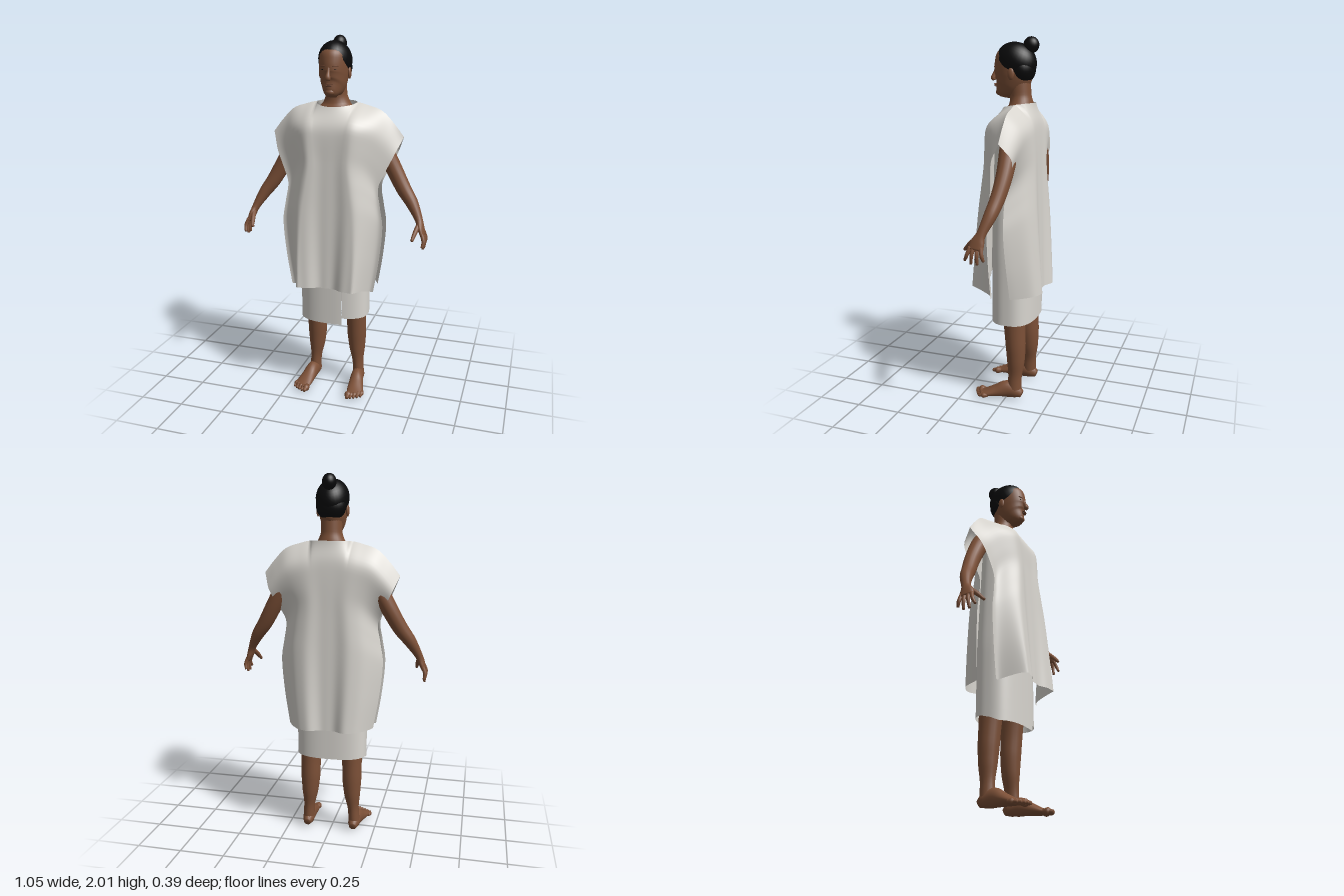
import * as THREE from 'three';

const { lerp, clamp, smoothstep } = THREE.MathUtils;

const mat = (name, color, side = THREE.FrontSide) => {
  const m = new THREE.MeshStandardMaterial({ color, side });
  m.name = name;
  return m;
};

// Smooth interpolation through [t, value] keys
function keyed(keys, t) {
  const n = keys.length - 1;
  let i = 0;
  while (i < n - 1 && t > keys[i + 1][0]) i++;
  const slope = k => {
    const a = keys[Math.max(0, k - 1)], b = keys[Math.min(n, k + 1)];
    return (b[1] - a[1]) / (b[0] - a[0]);
  };
  const [t0, v0] = keys[i], [t1, v1] = keys[i + 1];
  const h = t1 - t0, s = clamp((t - t0) / h, 0, 1), s2 = s * s, s3 = s2 * s;
  return v0 * (2 * s3 - 3 * s2 + 1) + v1 * (3 * s2 - 2 * s3)
    + slope(i) * h * (s3 - 2 * s2 + s) + slope(i + 1) * h * (s3 - s2);
}

function indexed(pos, idx) {
  const g = new THREE.BufferGeometry();
  g.setAttribute('position', new THREE.Float32BufferAttribute(pos, 3));
  g.setIndex(idx);
  g.computeVertexNormals();
  return g;
}

// Closed limb through rows [x, y, z, radius along ref, radius across]
function loft(rows, ref, sides = 20, steps = rows.length * 4) {
  const path = new THREE.CatmullRomCurve3(rows.map(r => new THREE.Vector3(r[0], r[1], r[2])));
  const radii = new THREE.CatmullRomCurve3(rows.map(r => new THREE.Vector3(r[3], r[4], 0)));
  const pos = [], idx = [];
  for (let i = -1; i <= steps + 1; i++) {
    const t = clamp(i / steps, 0, 1);
    const c = path.getPoint(t), d = path.getTangent(t), r = radii.getPoint(t);
    if (i < 0 || i > steps) r.set(0, 0, 0);
    const a = ref.clone().addScaledVector(d, -ref.dot(d)).normalize();
    const b = d.clone().cross(a);
    for (let j = 0; j < sides; j++) {
      const w = j / sides * Math.PI * 2;
      const p = c.clone().addScaledVector(a, r.x * Math.cos(w)).addScaledVector(b, r.y * Math.sin(w));
      pos.push(p.x, p.y, p.z);
    }
  }
  for (let i = 0; i < steps + 2; i++) for (let j = 0; j < sides; j++) {
    const k = (j + 1) % sides, p = i * sides, q = p + sides;
    idx.push(p + j, p + k, q + j, p + k, q + k, q + j);
  }
  return indexed(pos, idx);
}

// Open cloth sheet from fn(u, v) with u and v in 0..1
function sheet(nu, nv, fn, flip = false) {
  const pos = [], idx = [];
  for (let i = 0; i <= nv; i++) for (let j = 0; j <= nu; j++) pos.push(...fn(j / nu, i / nv));
  for (let i = 0; i < nv; i++) for (let j = 0; j < nu; j++) {
    const a = i * (nu + 1) + j, b = a + 1, c = a + nu + 1, d = c + 1;
    if (flip) idx.push(a, b, c, b, d, c);
    else idx.push(a, c, b, b, c, d);
  }
  return indexed(pos, idx);
}

// Tunic tables, from the shoulder seam (0) to the hem (1)
const SEAM_Y = [[0, 1.655], [0.3, 1.655], [0.45, 1.643], [0.68, 1.612], [0.85, 1.55], [1, 1.48]];
const WIDTH = [[0, 0.37], [0.12, 0.325], [0.22, 0.285], [0.31, 0.256], [0.43, 0.27], [0.56, 0.286], [0.78, 0.27], [1, 0.24]];
const FRONT = {
  sign: 1, neckY: 1.635, neckZ: 0.05, hem: 0.655, corner: 0.62, fold: 0.02, foldAt: 0.64,
  mid: [[0, 0.08], [0.1, 0.112], [0.3, 0.128], [0.6, 0.148], [1, 0.174]],
  edge: [[0, -0.03], [0.1, 0.005], [0.3, 0.04], [0.5, 0.05], [1, 0.05]],
  fall: (a, t) => 1 - smoothstep(a, lerp(0.3, 0.64, t), lerp(1, 0.93, t)),
};
const BACK = {
  sign: -1, neckY: 1.66, neckZ: -0.115, hem: 0.635, corner: 0.63, fold: 0.016, foldAt: 0.5,
  mid: [[0, -0.12], [0.1, -0.142], [0.4, -0.156], [1, -0.184]],
  edge: [[0, -0.08], [0.1, -0.11], [0.3, -0.05], [0.5, -0.04], [1, -0.06]],
  fall: (a, t) => 1 - a ** (2.6 + 2.6 * t),
};

function tunicPanel(s) {
  return sheet(72, 44, (uu, v) => {
    const u = uu * 2 - 1, a = Math.abs(u), t = v ** 1.2;
    const neck = a < 0.3 ? Math.sqrt(1 - (a / 0.3) ** 2) : 0;
    const top = keyed(SEAM_Y, a) + (s.neckY - 1.655) * neck;
    const hem = lerp(s.hem, s.corner, smoothstep(a, 0.7, 0.95));
    const seamZ = -0.05 + (s.neckZ + 0.05) * neck;
    const mid = keyed(s.mid, t), edge = keyed(s.edge, t);
    const folds = s.sign * t * (1 - a ** 6) * (0.003 * Math.cos(u * 17) - s.fold * Math.cos(Math.PI * a / s.foldAt));
    const body = edge + (mid - edge) * s.fall(a, t) + folds;
    const blend = 1 - (1 - Math.min(1, t / 0.15)) ** 2.5;
    return [u * keyed(WIDTH, t), lerp(top, hem, t), lerp(seamZ, body, blend)];
  }, s.sign < 0);
}

// Wrapped under-robe: one turn starting and ending at the front overlap
function robeWrap() {
  return sheet(110, 18, (s, v) => {
    const w = 0.27 + s * Math.PI * 2;
    const hem = 0.457 - 0.037 * smoothstep(w, 4.4, 5.2);
    const grow = 1 + 0.05 * smoothstep(s, 0.75, 1);
    const round = c => Math.sign(c) * Math.abs(c) ** 0.75;
    const k = Math.min(1, v * 1.6);
    return [
      round(Math.sin(w)) * lerp(0.168, 0.196, k), lerp(1.5, hem, v),
      -0.022 + round(Math.cos(w)) * lerp(0.104, 0.121, k) * grow,
    ];
  });
}

export function createModel() {
  const model = new THREE.Group();
  model.name = 'standingPerson';
  const skin = mat('skin', 0x7c5037), hair = mat('hair', 0x0a0a0b);
  const lip = mat('lips', 0x69422f), cloth = mat('cloth', 0xd8d5cf, THREE.DoubleSide);
  const X = new THREE.Vector3(1, 0, 0), Y = new THREE.Vector3(0, 1, 0), Z = new THREE.Vector3(0, 0, 1);

  const add = (name, geo, material, parent = model) => {
    const m = new THREE.Mesh(geo, material);
    m.name = name;
    parent.add(m);
    return m;
  };
  const ball = (name, material, p, r, parent) => {
    const m = add(name, new THREE.SphereGeometry(1, 28, 20), material, parent);
    m.position.set(...p);
    m.scale.set(...r);
    return m;
  };

  // Clothing
  add('tunicFront', tunicPanel(FRONT), cloth);
  add('tunicBack', tunicPanel(BACK), cloth);
  add('underRobe', robeWrap(), cloth);

  // Shoulders and neck
  add('shoulders', loft([
    [0, 1.4, -0.02, 0.09, 0.145], [0, 1.5, -0.025, 0.095, 0.155], [0, 1.58, -0.035, 0.08, 0.14],
  ], Z, 28), skin);
  add('neck', loft([
    [0, 1.56, -0.035, 0.085, 0.15], [0, 1.615, -0.04, 0.078, 0.112], [0, 1.65, -0.042, 0.066, 0.076],
    [0, 1.7, -0.038, 0.058, 0.057], [0, 1.78, -0.03, 0.06, 0.056],
  ], Z, 28), skin);

  // Head and face
  const head = new THREE.Group();
  head.name = 'head';
  model.add(head);
  add('face', loft([
    [0, 1.688, 0.05, 0.028, 0.024], [0, 1.71, 0.046, 0.056, 0.044], [0, 1.75, 0.022, 0.089, 0.064],
    [0, 1.8, 0.004, 0.105, 0.074], [0, 1.85, 0, 0.107, 0.078], [0, 1.89, -0.003, 0.103, 0.079],
    [0, 1.922, -0.008, 0.086, 0.068], [0, 1.942, -0.01, 0.045, 0.035],
  ], Z, 32), skin, head);
  add('nose', loft([
    [0, 1.845, 0.1, 0.006, 0.008], [0, 1.815, 0.108, 0.01, 0.009],
    [0, 1.788, 0.117, 0.014, 0.015], [0, 1.777, 0.112, 0.008, 0.012],
  ], Z, 14), skin, head);
  ball('upperLip', lip, [0, 1.756, 0.104], [0.021, 0.004, 0.009], head);
  ball('lowerLip', lip, [0, 1.748, 0.102], [0.018, 0.005, 0.009], head);
  ball('chin', skin, [0, 1.715, 0.08], [0.026, 0.019, 0.021], head);
  const cap = ball('hairCap', hair, [0, 1.875, -0.015], [0.088, 0.096, 0.112], head);
  cap.rotation.x = -0.45;
  ball('hairNape', hair, [0, 1.835, -0.052], [0.08, 0.078, 0.066], head);
  ball('hairBun', hair, [0, 1.957, -0.096], [0.037, 0.043, 0.042], head);

  for (const s of [1, -1]) {
    const side = s > 0 ? 'left' : 'right';
    ball(side + 'Eye', hair, [s * 0.032, 1.83, 0.0965], [0.01, 0.002, 0.003], head);
    const brow = ball(side + 'Brow', lip, [s * 0.034, 1.848, 0.0965], [0.018, 0.003, 0.004], head);
    brow.rotation.y = s * 0.35;
    ball(side + 'Ear', skin, [s * 0.08, 1.81, -0.01], [0.009, 0.031, 0.018], head);

    // Arm and hand
    const arm = new THREE.Group();
    arm.name = side + 'Arm';
    model.add(arm);
    const limb = (name, rows, ref, parent, sides) =>
      add(name, loft(rows.map(r => [r[0] * s, ...r.slice(1)]), ref, sides), skin, parent);
    limb('armAndPalm', [
      [0.17, 1.53, -0.05, 0.055, 0.055], [0.24, 1.44, -0.06, 0.05, 0.05], [0.315, 1.31, -0.06, 0.043, 0.045],
      [0.378, 1.2, -0.045, 0.038, 0.041], [0.428, 1.13, -0.028, 0.034, 0.034], [0.475, 1.045, 0.002, 0.025, 0.021],
      [0.49, 1.005, 0.016, 0.038, 0.018], [0.503, 0.97, 0.022, 0.042, 0.013],
    ], Z, arm);
    [[0.05, 0.078, 0.915], [0.033, 0.045, 0.898], [0.013, 0.012, 0.897], [-0.007, -0.022, 0.916]].forEach(([z0, z1, y1], i) =>
      limb('finger' + (i + 1), [
        [0.5, 0.985, z0, 0.011, 0.011], [0.513, 0.945, (z0 + z1) / 2, 0.01, 0.01], [0.508, y1, z1, 0.007, 0.007],
      ], Z, arm, 10));
    limb('thumb', [
      [0.48, 1.03, 0.015, 0.014, 0.014], [0.468, 0.995, 0.06, 0.013, 0.013], [0.457, 0.955, 0.1, 0.008, 0.008],
    ], X, arm, 10);

    // Leg, foot and toes
    const leg = new THREE.Group();
    leg.name = side + 'Leg';
    model.add(leg);
    limb('legShape', [
      [0.085, 0.95, -0.03, 0.09, 0.08], [0.1, 0.7, -0.035, 0.08, 0.075], [0.117, 0.5, -0.043, 0.065, 0.06],
      [0.12, 0.41, -0.048, 0.06, 0.056], [0.121, 0.32, -0.053, 0.057, 0.055], [0.124, 0.22, -0.055, 0.05, 0.046],
      [0.131, 0.12, -0.052, 0.039, 0.031], [0.136, 0.04, -0.05, 0.04, 0.032],
    ], Z, leg);
    limb('foot', [
      [0.135, 0.028, -0.095, 0.02, 0.02], [0.135, 0.04, -0.065, 0.038, 0.032], [0.139, 0.05, -0.01, 0.049, 0.036],
      [0.147, 0.035, 0.05, 0.034, 0.042], [0.156, 0.021, 0.105, 0.02, 0.046], [0.16, 0.014, 0.142, 0.012, 0.041],
    ], Y, leg);
    [0.184, 0.18, 0.172, 0.161, 0.147].forEach((z, i) => {
      const x = 0.126 + i * 0.0175, r = i ? 0.009 : 0.013;
      limb('toe' + (i + 1), [
        [x, 0.017, z - 0.055, r, r], [x + 0.002, 0.014, z - 0.02, r, r], [x + 0.003, 0.011, z, r * 0.7, r * 0.7],
      ], Y, leg, 10);
    });
  }
  return model;
}
